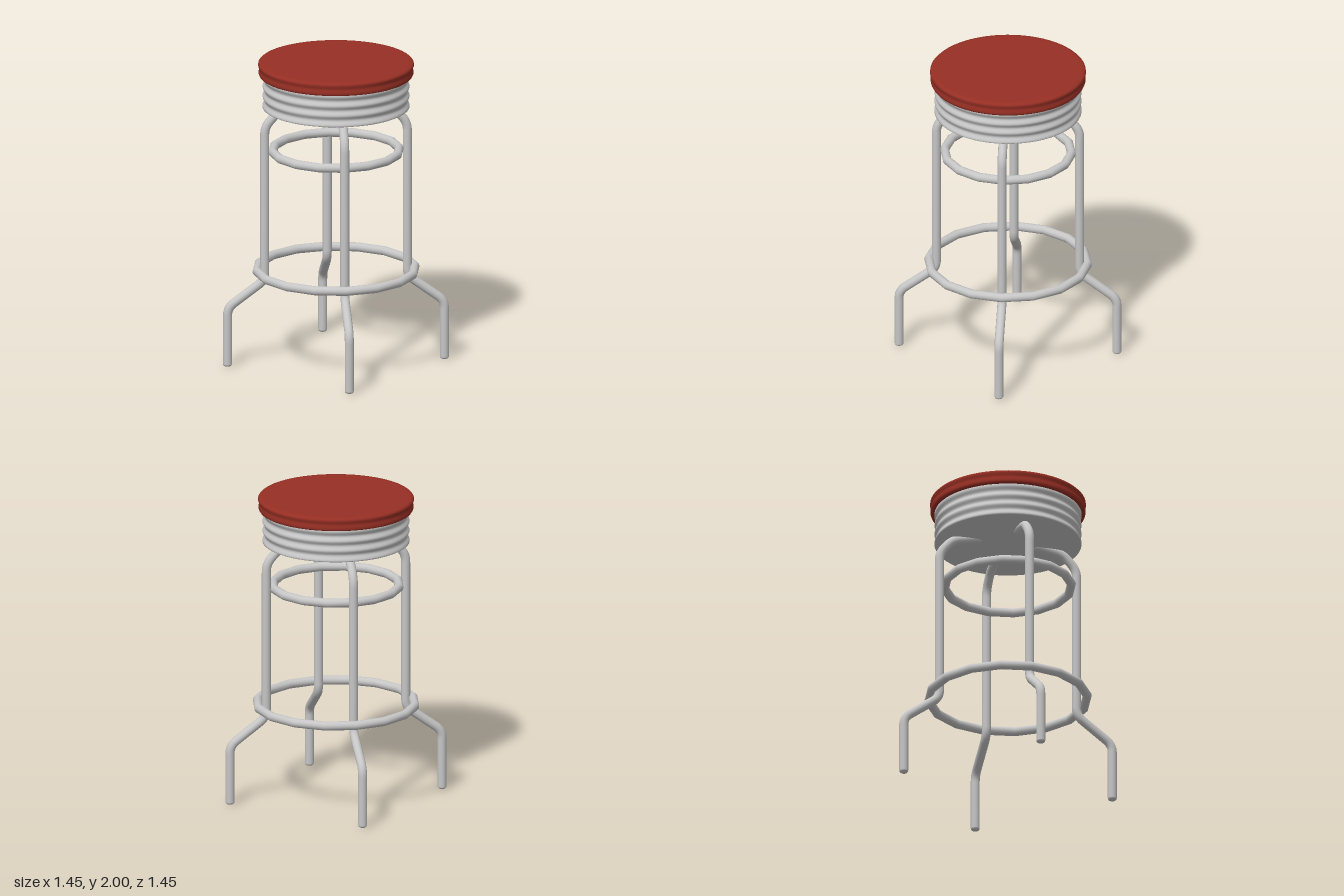
import * as THREE from 'three';

const TUBE = 0.029;

// Path through the corners, each one rounded by distance r
function roundedPath(corners, r) {
  const pts = corners.map(([x, y]) => new THREE.Vector3(x, y, 0));
  const path = new THREE.CurvePath();
  let start = pts[0];
  for (let i = 1; i < pts.length - 1; i++) {
    const p = pts[i];
    const towards = (q) => p.clone().add(q.clone().sub(p).setLength(r));
    const a = towards(pts[i - 1]);
    const b = towards(pts[i + 1]);
    path.add(new THREE.LineCurve3(start, a));
    path.add(new THREE.QuadraticBezierCurve3(a, p, b));
    start = b;
  }
  path.add(new THREE.LineCurve3(start, pts[pts.length - 1]));
  return path;
}

function lathe(name, profile, material) {
  const points = profile.map(([x, y]) => new THREE.Vector2(x, y));
  const mesh = new THREE.Mesh(new THREE.LatheGeometry(points, 64), material);
  mesh.name = name;
  return mesh;
}

export function createModel() {
  const chrome = new THREE.MeshStandardMaterial({ color: 0xc6c6c6 });
  chrome.name = 'chrome';
  const red = new THREE.MeshStandardMaterial({ color: 0x972f24 });
  red.name = 'red vinyl';

  const stool = new THREE.Group();
  stool.name = 'barStool';

  // Padded seat with a slightly pinched rim
  stool.add(lathe('seatCushion', [
    [0, 1.912], [0.478, 1.912], [0.488, 1.915], [0.493, 1.925], [0.492, 1.94],
    [0.488, 1.952], [0.49, 1.965], [0.496, 1.977], [0.495, 1.988],
    [0.487, 1.996], [0.47, 1.999], [0.44, 2], [0, 2],
  ], red));

  // Ribbed band under the seat, closed below
  const band = [[0, 1.7], [0.463, 1.7], [0.468, 1.703]];
  for (let i = 0; i <= 24; i++) {
    const t = i / 24;
    band.push([0.461 + 0.007 * Math.cos(t * 6 * Math.PI), 1.71 + 0.19 * t]);
  }
  band.push([0.468, 1.914], [0.46, 1.916]);
  stool.add(lathe('seatBand', band, chrome));

  // Four bent legs with rounded feet
  const path = roundedPath([
    [0.695, 0.018], [0.695, 0.39], [0.457, 0.565],
    [0.457, 1.58], [0.37, 1.68], [0.2, 1.713],
  ], 0.05);
  const legGeometry = new THREE.TubeGeometry(path, 120, TUBE, 14);
  const footGeometry = new THREE.SphereGeometry(TUBE, 14, 10);
  footGeometry.scale(1, 0.018 / TUBE, 1);
  const tipGeometry = new THREE.SphereGeometry(TUBE, 14, 10);
  for (let i = 0; i < 4; i++) {
    const leg = new THREE.Group();
    leg.name = 'leg' + (i + 1);
    const tube = new THREE.Mesh(legGeometry, chrome);
    tube.name = 'legTube';
    const foot = new THREE.Mesh(footGeometry, chrome);
    foot.name = 'footTip';
    foot.position.set(0.695, 0.018, 0);
    const tip = new THREE.Mesh(tipGeometry, chrome);
    tip.name = 'legTopEnd';
    tip.position.set(0.2, 1.713, 0);
    leg.add(tube, foot, tip);
    leg.rotation.y = i * Math.PI / 2;
    stool.add(leg);
  }

  // Brace ring and foot ring
  for (const [name, radius, y] of [['braceRing', 0.405, 1.41], ['footRing', 0.506, 0.623]]) {
    const ring = new THREE.Mesh(new THREE.TorusGeometry(radius, TUBE, 14, 16), chrome);
    ring.name = name;
    ring.rotation.x = Math.PI / 2;
    ring.position.y = y;
    stool.add(ring);
  }

  return stool;
}
